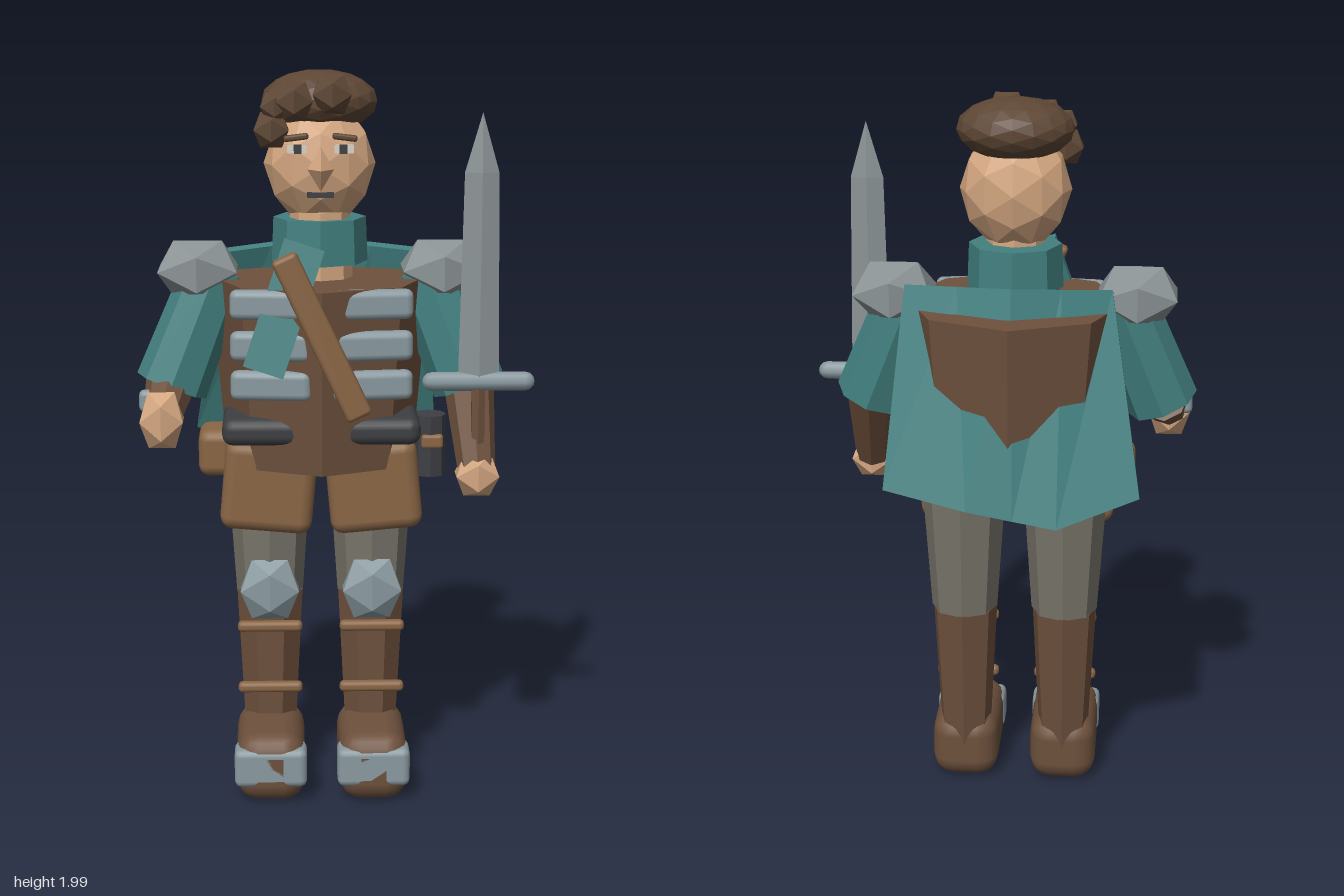
import * as THREE from 'three';
import { RoundedBoxGeometry } from 'three/addons/geometries/RoundedBoxGeometry.js';

const CX = -0.036; // body centre line

function mat(name, color) {
  const m = new THREE.MeshStandardMaterial({ color });
  m.name = name;
  return m;
}

// Faceted normals
function flat(geo) {
  const g = geo.index ? geo.toNonIndexed() : geo;
  g.computeVertexNormals();
  return g;
}

export function createModel() {
  const model = new THREE.Group();
  model.name = 'swordsman';
  const teal = mat('teal cloth', 0x438080);
  const brown = mat('brown leather', 0x6e513d);
  const tan = mat('tan leather', 0x8a6645);
  const trousers = mat('grey trousers', 0x78756a);
  const steel = mat('steel', 0x8c9496);
  const paleSteel = mat('pale steel', 0x8a9aa0);
  const hairMat = mat('hair', 0x5d4634);
  const skin = mat('skin', 0xd3a680);
  const dark = mat('dark leather', 0x3e3f42);
  const white = mat('eye white', 0xd8d4c8);

  function add(name, geo, material, pos = [0, 0, 0], rot = [0, 0, 0]) {
    const m = new THREE.Mesh(geo, material);
    m.name = name;
    m.position.set(...pos);
    m.rotation.set(...rot);
    model.add(m);
    return m;
  }
  const box = (w, h, d, r = 0.02) => new RoundedBoxGeometry(w, h, d, 2, r);
  const gem = (rx, ry, rz, detail = 0) => flat(new THREE.IcosahedronGeometry(1, detail).scale(rx, ry, rz));
  const drum = (rt, rb, h, n = 8) => flat(new THREE.CylinderGeometry(rt, rb, h, n));

  // Tapered faceted limb from point a to point b
  function limb(name, a, b, ra, rb, material, sides = 8) {
    const A = new THREE.Vector3(...a), B = new THREE.Vector3(...b);
    const m = add(name, drum(ra, rb, A.distanceTo(B), sides), material);
    m.position.copy(A).add(B).multiplyScalar(0.5);
    m.quaternion.setFromUnitVectors(new THREE.Vector3(0, 1, 0), A.sub(B).normalize());
    return m;
  }

  // Torso, neck and collar
  add('jerkin', drum(0.3, 0.257, 0.5), brown, [CX, 1.19, 0]);
  add('neck', drum(0.08, 0.09, 0.2), skin, [CX, 1.52, 0.02]);
  add('collar', drum(0.125, 0.13, 0.12), teal, [CX, 1.54, 0]);
  add('belt', box(0.53, 0.075, 0.47, 0.03), dark, [CX, 1.052, 0]);

  // Chest straps, which dip into the jerkin at their middles
  add('chestStrap', box(0.07, 0.47, 0.045, 0.012), tan, [CX, 1.32, 0.28], [0, 0, 0.44]);
  add('scarfTail', new THREE.BoxGeometry(0.11, 0.35, 0.03), teal, [-0.135, 1.39, 0.243], [-0.2, 0, -0.32]);

  // Cloak: a slab widened and creased by column
  const top = [[-0.30, 1.5, -0.095], [-0.168, 1.51, -0.143], [CX, 1.52, -0.185], [0.11, 1.51, -0.135], [0.255, 1.5, -0.085]];
  const hem = [[-0.385, 0.97, -0.25], [-0.167, 0.9, -0.315], [-0.05, 0.92, -0.312], [0.075, 0.94, -0.304], [0.30, 0.98, -0.262]];
  const cloak = new THREE.BoxGeometry(1, 1, 1, 4, 1, 1);
  const p = cloak.attributes.position;
  for (let i = 0; i < p.count; i++) {
    const col = Math.round((p.getX(i) + 0.5) * 4);
    const [x, y, z] = (p.getY(i) > 0 ? top : hem)[col];
    const inner = p.getZ(i) > 0 ? 1 : 0;
    p.setXYZ(i, x, y - 0.008 * inner, z + 0.03 * inner);
  }
  add('cloak', flat(cloak), teal);

  for (const s of [-1, 1]) {
    const side = s > 0 ? 'left' : 'right';
    const X = (d) => CX + s * d;

    // Chest plates
    for (const y of [1.4, 1.29, 1.185])
      add(side + 'ChestPlate', box(0.215, 0.08, 0.045, 0.02), paleSteel, [X(0.133), y, 0.24], [0, s * 0.1, 0]);

    // Hip guard
    add(side + 'HipGuard', box(0.25, 0.25, 0.13, 0.035), tan, [X(0.142), 0.885, 0.12], [0, 0, s * 0.09]);

    // Leg
    const lx = X(0.142);
    limb(side + 'Thigh', [lx, 0.98, -0.015], [lx, 0.54, -0.008], 0.122, 0.093, trousers);
    const shin = limb(side + 'Shin', [lx, 0.545, -0.008], [lx, 0.12, 0.008], 0.094, 0.072, brown, 7);
    shin.rotateY(Math.PI / 7);
    add(side + 'KneePad', gem(0.095, 0.1, 0.048), paleSteel, [lx, 0.57, 0.085]);
    for (const y of [0.465, 0.285])
      add(side + 'ShinStrap', box(0.18, 0.03, 0.03, 0.012), tan, [lx, y, 0.092]);

    // Boot
    add(side + 'Boot', box(0.19, 0.195, 0.325, 0.06), brown, [lx, 0.098, 0.1]);
    add(side + 'ToeCap', box(0.2, 0.11, 0.095, 0.02), paleSteel, [lx, 0.105, 0.215]);

    // Arm: the right hand is raised, the left holds the sword
    const elbow = [X(0.405), 1.16, 0.05];
    const hand = s > 0 ? [0.385, 0.92, 0.168] : [-0.462, 1.08, 0.185];
    limb(side + 'Sleeve', [X(0.28), 1.46, 0.01], [X(0.405), 1.145, 0.05], 0.088, 0.1, teal);
    limb(side + 'Forearm', elbow, hand, 0.07, 0.05, brown);
    add(side + 'Hand', gem(0.068, s > 0 ? 0.07 : 0.09, 0.06), skin, hand);
    add(side + 'Pauldron', gem(0.125, 0.09, 0.14), steel, [X(0.33), 1.46, 0.012]);

    // Face features
    add(side + 'Eye', new THREE.BoxGeometry(0.05, 0.022, 0.009), white, [X(0.062), 1.792, 0.126]);
    add(side + 'Pupil', new THREE.BoxGeometry(0.02, 0.024, 0.008), dark, [X(0.06), 1.792, 0.13]);
    add(side + 'Brow', box(0.065, 0.016, 0.025, 0.006), hairMat, [X(0.064), 1.823, 0.13], [0, 0, s * -0.12]);
  }
  // Bracer on the raised arm
  add('bracer', box(0.12, 0.06, 0.04, 0.015), paleSteel, [-0.465, 1.12, 0.125]);

  // Hip pouches
  add('hipPouch', box(0.1, 0.13, 0.15, 0.03), tan, [-0.32, 0.96, 0.02]);
  add('hipFlask', drum(0.045, 0.045, 0.17), dark, [0.265, 0.975, 0.04]);
  add('flaskBand', box(0.06, 0.04, 0.06, 0.01), tan, [0.27, 0.99, 0.06]);

  // Head
  add('head', gem(0.15, 0.165, 0.128, 1), skin, [CX, 1.745, 0.012]);
  add('nose', flat(new THREE.OctahedronGeometry(1).scale(0.035, 0.058, 0.05)), skin, [CX, 1.742, 0.15]);
  add('mouth', new THREE.BoxGeometry(0.07, 0.014, 0.01), dark, [CX, 1.672, 0.125]);

  // Hair
  add('hair', gem(0.157, 0.083, 0.13, 2), hairMat, [CX, 1.908, -0.01]);
  for (const [x, y, z, r] of [[-0.165, 1.84, 0.1, 0.054], [-0.155, 1.9, 0.1, 0.045], [-0.105, 1.915, 0.105, 0.058], [-0.005, 1.932, 0.105, 0.06]])
    add('curl', gem(r, r, r * 0.85), hairMat, [x, y, z]);

  // Sword: diamond section tapering to a point
  const SX = 0.385, SZ = 0.165;
  const blade = new THREE.CylinderGeometry(0, 0.055, 0.71, 4, 2);
  const b = blade.attributes.position;
  for (let i = 0; i < b.count; i++) {
    if (Math.abs(b.getY(i)) < 0.01) {
      const k = 0.045 / 0.0275;
      b.setXYZ(i, b.getX(i) * k, 0.2, b.getZ(i) * k);
    }
    b.setZ(i, b.getZ(i) * 0.36);
  }
  add('blade', flat(blade), steel, [SX, 1.535, SZ]);
  add('guard', new THREE.CapsuleGeometry(0.026, 0.25, 3, 8), paleSteel, [SX, 1.177, SZ], [0, 0, Math.PI / 2]);
  add('grip', drum(0.02, 0.02, 0.24, 6), brown, [SX, 1.05, SZ]);

  return model;
}
